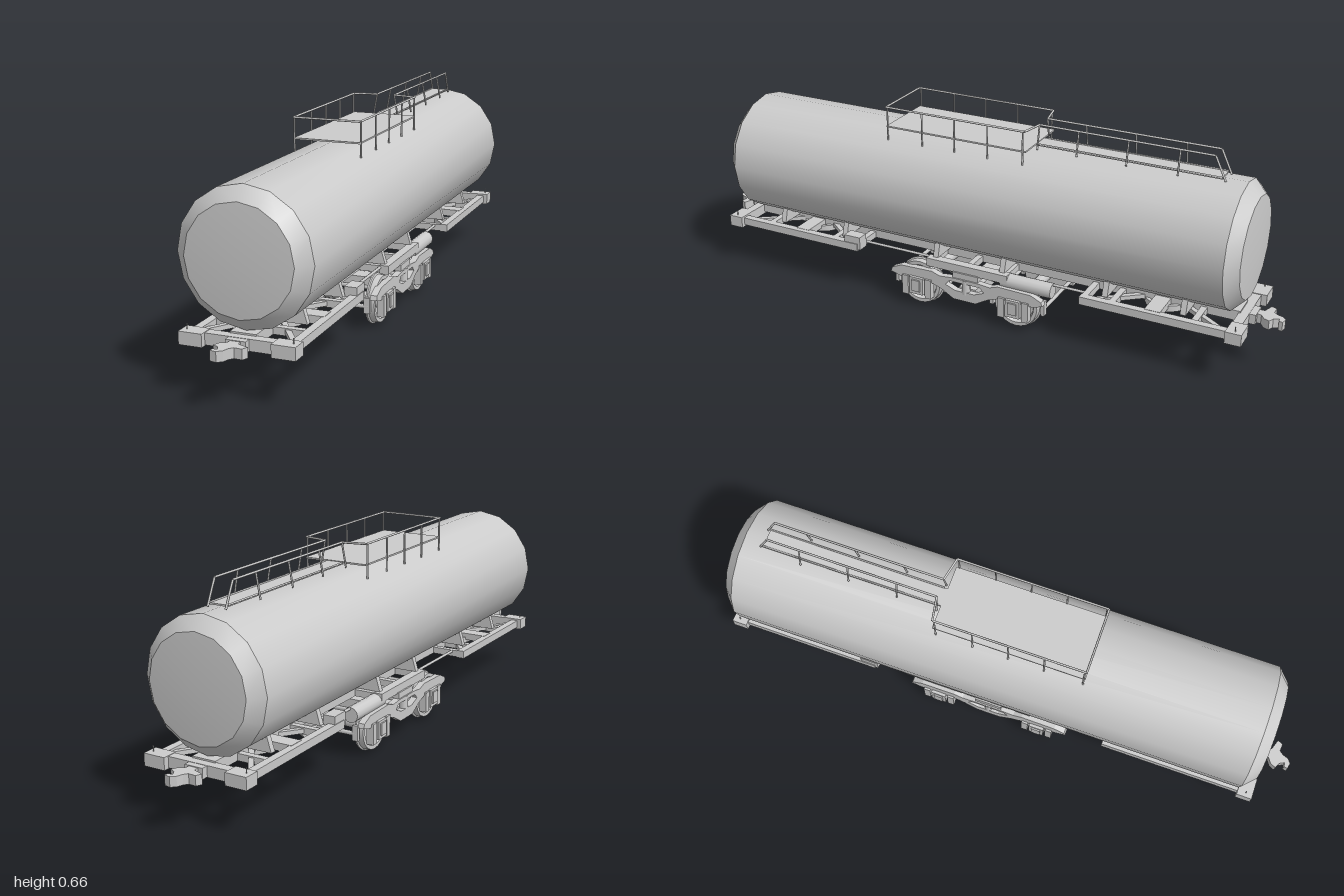
import * as THREE from 'three';
import { toCreasedNormals } from 'three/addons/utils/BufferGeometryUtils.js';

const grey = new THREE.MeshStandardMaterial({ color: 0xcccccc, side: THREE.DoubleSide });

function add(parent, name, geometry, x = 0, y = 0, z = 0) {
  const mesh = new THREE.Mesh(geometry, grey);
  mesh.name = name;
  mesh.position.set(x, y, z);
  parent.add(mesh);
  return mesh;
}

const box = (p, name, w, h, d, x, y, z) => add(p, name, new THREE.BoxGeometry(w, h, d), x, y, z);

// Square or round bar between two points
function bar(p, name, a, b, r = 0.003, sides = 6) {
  const from = new THREE.Vector3(...a), to = new THREE.Vector3(...b);
  const dir = to.clone().sub(from);
  const mesh = add(p, name, new THREE.CylinderGeometry(r, r, dir.length(), sides));
  mesh.position.copy(from).add(to).multiplyScalar(0.5);
  mesh.quaternion.setFromUnitVectors(new THREE.Vector3(0, 1, 0), dir.normalize());
  return mesh;
}

// Flat strip lying in the ground plane between two (x, z) points
function strip(p, name, x1, z1, x2, z2, width, height, y) {
  const m = box(p, name, width, height, Math.hypot(x2 - x1, z2 - z1), (x1 + x2) / 2, y, (z1 + z2) / 2);
  m.rotation.y = Math.atan2(x2 - x1, z2 - z1);
}

function lathe(points, sides) {
  const g = new THREE.LatheGeometry(points.map(q => new THREE.Vector2(...q)), sides);
  return toCreasedNormals(g, 0.45);
}

function extrude(points, depth, holes = []) {
  const toV = list => list.map(q => new THREE.Vector2(...q));
  const shape = new THREE.Shape(toV(points));
  holes.forEach(h => shape.holes.push(new THREE.Path(toV(h))));
  return new THREE.ExtrudeGeometry(shape, { depth, bevelEnabled: false }).translate(0, 0, -depth / 2);
}

function makeTank() {
  const g = new THREE.Group();
  g.name = 'tank';
  const profile = [[0, -0.9], [0.16, -0.888], [0.2, -0.85], [0.2, 0.85], [0.16, 0.888], [0, 0.9]];
  add(g, 'tankShell', lathe(profile, 16).rotateX(Math.PI / 2), 0, 0.39, 0);
  return g;
}

function makeWalkway() {
  const g = new THREE.Group();
  g.name = 'walkway';
  box(g, 'platform', 0.214, 0.005, 0.49, 0, 0.599, 0.055);
  box(g, 'narrowWalkway', 0.06, 0.005, 0.59, 0, 0.597, -0.485);
  for (const s of [1, -1]) {
    const w = s * 0.107, n = s * 0.03;
    // Handrail follows the platform edge, then the narrow walkway
    const path = [[w, 0.664, 0.3], [w, 0.664, -0.185], [n, 0.664, -0.2], [n, 0.664, -0.755], [n, 0.59, -0.79]];
    for (let i = 0; i < path.length - 1; i++) bar(g, 'handrail', path[i], path[i + 1], 0.0035);
    for (const z of [0.295, 0.17, 0.055, -0.06, -0.18]) bar(g, 'platformPost', [w, 0.555, z], [w, 0.664, z]);
    for (const z of [-0.2, -0.33, -0.49, -0.65]) bar(g, 'walkwayPost', [s * 0.044, 0.587, z], [n, 0.664, z]);
    bar(g, 'walkwayEdge', [n, 0.6, -0.2], [n, 0.6, -0.78]);
  }
  bar(g, 'frontHandrail', [-0.107, 0.664, 0.3], [0.107, 0.664, 0.3], 0.0035);
  return g;
}

// One end of the underframe, built for +z
function makeEndFrame() {
  const g = new THREE.Group();
  g.name = 'endFrame';
  for (const s of [1, -1]) {
    box(g, 'bufferBeamBlock', 0.07, 0.038, 0.05, s * 0.136, 0.168, 0.888);
    box(g, 'sideBeam', 0.025, 0.026, 0.5, s * 0.145, 0.168, 0.65);
    strip(g, 'diagonalBrace', s * 0.14, 0.85, s * 0.03, 0.69, 0.016, 0.014, 0.168);
    strip(g, 'diagonalBrace', s * 0.14, 0.43, s * 0.03, 0.57, 0.016, 0.014, 0.168);
    bar(g, 'grabIron', [s * 0.156, 0.18, 0.89], [s * 0.156, 0.203, 0.89], 0.0015);
  }
  box(g, 'bufferBeam', 0.3, 0.034, 0.03, 0, 0.168, 0.88);
  for (const z of [0.76, 0.5, 0.41]) box(g, 'crossBeam', 0.28, 0.022, 0.02, 0, 0.168, z);
  box(g, 'bodyBolster', 0.28, 0.024, 0.05, 0, 0.17, 0.63);
  add(g, 'pivotRing', lathe([[0.058, -0.008], [0.07, -0.008], [0.07, 0.012], [0.058, 0.012], [0.058, -0.008]], 16), 0, 0.155, 0.63);
  add(g, 'pivotPlate', new THREE.CylinderGeometry(0.06, 0.06, 0.012, 16), 0, 0.157, 0.63);
  // Coupler: shank with a hook jaw and a guard arm
  const head = [[-0.014, 0], [0.014, 0], [0.016, 0.03], [0.05, 0.042], [0.042, 0.06], [0.018, 0.058],
    [0.008, 0.07], [0.002, 0.088], [-0.012, 0.1], [-0.032, 0.096], [-0.03, 0.084], [-0.016, 0.082],
    [-0.024, 0.066], [-0.042, 0.058], [-0.034, 0.04], [-0.016, 0.028]];
  add(g, 'coupler', extrude(head, 0.03).rotateX(Math.PI / 2), 0, 0.167, 0.9);
  box(g, 'couplerPocket', 0.06, 0.032, 0.06, 0, 0.168, 0.885);
  return g;
}

function makeUnderframe() {
  const g = new THREE.Group();
  g.name = 'underframe';
  for (const s of [1, -1]) {
    box(g, 'centreSill', 0.014, 0.03, 1.74, s * 0.032, 0.172, 0);
    box(g, 'middleSideBeam', 0.03, 0.028, 0.29, s * 0.125, 0.168, 0);
    bar(g, 'pipe', [s * 0.11, 0.174, 0.42], [s * 0.11, 0.174, -0.42], 0.005);
    bar(g, 'airReservoir', [s * 0.115, 0.155, -0.12], [s * 0.115, 0.155, -0.295], 0.025, 12);
  }
  box(g, 'sillCover', 0.078, 0.006, 1.74, 0, 0.187, 0);
  for (const z of [0.13, 0, -0.13]) box(g, 'middleCrossBeam', 0.25, 0.022, 0.02, 0, 0.168, z);
  box(g, 'equipmentBox', 0.04, 0.045, 0.06, 0.135, 0.183, 0.42);
  box(g, 'equipmentBox', 0.04, 0.045, 0.06, -0.135, 0.183, -0.42);

  // Saddles hug the tank underside
  const saddle = [[-0.123, 0.181], [0.123, 0.181], [0.108, 0.232]];
  for (let i = 0; i <= 6; i++) {
    const a = 0.57 * (1 - i / 3);
    saddle.push([0.197 * Math.sin(a), 0.39 - 0.197 * Math.cos(a)]);
  }
  saddle.push([-0.108, 0.232]);
  for (const z of [0.72, 0.47, 0.12, -0.12, -0.47, -0.72]) add(g, 'saddle', extrude(saddle, 0.018), 0, 0, z);

  const front = makeEndFrame(), back = makeEndFrame();
  back.rotation.y = Math.PI;
  g.add(front, back);
  return g;
}

function makeBogie() {
  const g = new THREE.Group();
  g.name = 'bogie';
  // Side frame outline as (z, y): arched over the wheels, dipped at the centre
  const half = [[0.04, 0.062], [0.085, 0.088], [0.12, 0.1], [0.24, 0.1], [0.275, 0.11],
    [0.27, 0.124], [0.235, 0.14], [0.12, 0.143], [0.09, 0.133], [0.05, 0.137]];
  const outline = [...half, ...half.map(([z, y]) => [-z, y]).reverse()];
  const hole = [[-0.035, 0.094], [0.035, 0.094], [0.07, 0.108], [0.055, 0.124], [-0.055, 0.124], [-0.07, 0.108]];
  const bracket = [[0.055, 0.145], [0.11, 0.145], [0.11, 0.138], [0.092, 0.124], [0.075, 0.128]];
  const wheel = [[0.018, 0], [0.08, 0], [0.081, 0.006], [0.076, 0.009], [0.074, 0.028], [0.062, 0.028],
    [0.056, 0.014], [0.03, 0.014], [0.026, 0.03], [0, 0.03]];

  for (const s of [1, -1]) {
    add(g, 'sideFrame', extrude(outline, 0.022, [hole]).rotateY(-Math.PI / 2), s * 0.139, 0, 0);
    for (const z of [0.175, -0.175]) {
      add(g, 'wheel', lathe(wheel, 24).rotateZ(-Math.PI / 2), s * 0.104, 0.084, z).rotation.y = s > 0 ? 0 : Math.PI;
      box(g, 'journalBox', 0.026, 0.06, 0.05, s * 0.147, 0.081, z);
      box(g, 'journalCover', 0.01, 0.04, 0.03, s * 0.16, 0.083, z);
      for (const d of [0.042, -0.042]) box(g, 'pedestal', 0.024, 0.068, 0.022, s * 0.145, 0.076, z + d);
      for (const d of [0.09, -0.09]) box(g, 'brakeShoe', 0.02, 0.05, 0.012, s * 0.116, 0.088, z + d);
    }
    for (const z of [0.085, -0.085]) {
      const b = add(g, 'hangerBracket', extrude(bracket, 0.03), 0, 0, z);
      b.scale.x = s;
    }
    box(g, 'sideBearing', 0.035, 0.02, 0.09, s * 0.128, 0.147, 0);
    bar(g, 'spring', [s * 0.138, 0.085, 0], [s * 0.138, 0.135, 0], 0.014, 10);
  }
  for (const z of [0.175, -0.175]) {
    bar(g, 'axle', [-0.15, 0.084, z], [0.15, 0.084, z], 0.018, 12);
    for (const d of [0.09, -0.09]) bar(g, 'brakeBeam', [-0.12, 0.085, z + d], [0.12, 0.085, z + d], 0.007);
  }
  box(g, 'bolster', 0.26, 0.034, 0.06, 0, 0.083, 0);
  return g;
}

export function createModel() {
  const model = new THREE.Group();
  model.name = 'tankWagon';
  model.add(makeTank(), makeWalkway(), makeUnderframe(), makeBogie());
  return model;
}
